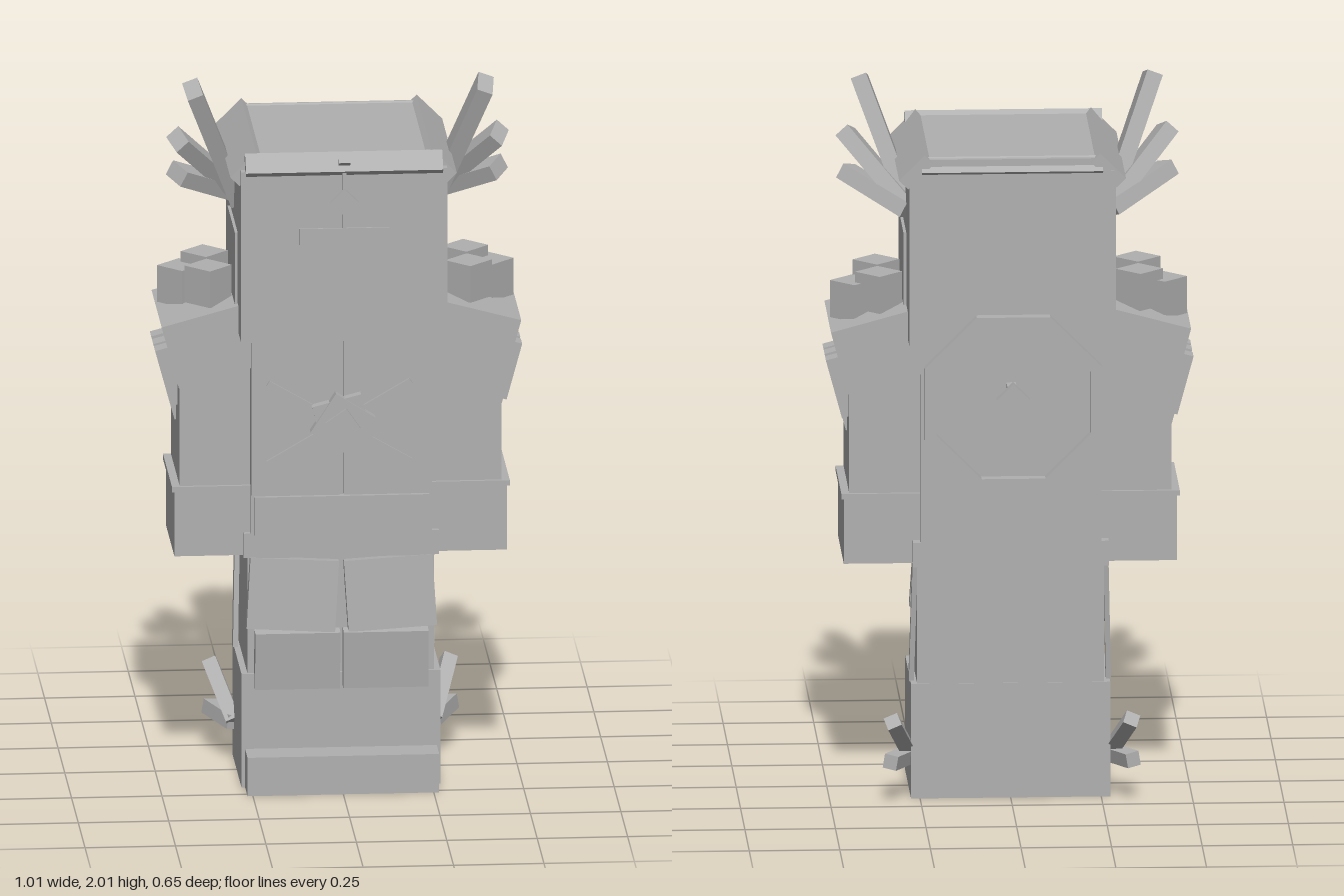
import * as THREE from 'three';

export function createModel() {
  const root = new THREE.Group();
  const stone = new THREE.MeshStandardMaterial({ color: 0xb0b0b0, flatShading: true });
  stone.name = 'plain grey';

  const add = (name, geo, parent = root) => {
    const m = new THREE.Mesh(geo, stone);
    m.name = name;
    parent.add(m);
    return m;
  };
  // box from its lower and upper corners
  const block = (name, x0, x1, y0, y1, z0, z1, parent = root) => {
    const m = add(name, new THREE.BoxGeometry(x1 - x0, y1 - y0, z1 - z0), parent);
    m.position.set((x0 + x1) / 2, (y0 + y1) / 2, (z0 + z1) / 2);
    return m;
  };
  // box from its centre, with turns
  const turned = (name, size, pos, rot, parent = root) => {
    const m = add(name, new THREE.BoxGeometry(...size), parent);
    m.position.set(...pos);
    m.rotation.set(...rot);
    return m;
  };
  // square bar between two points, d measured towards z
  const bar = (name, a, b, w, d, parent = root) => {
    const p = new THREE.Vector3(...a), q = new THREE.Vector3(...b);
    const dir = q.clone().sub(p), len = dir.length();
    dir.normalize();
    const x = new THREE.Vector3().crossVectors(dir, new THREE.Vector3(0, 0, 1)).normalize();
    const z = new THREE.Vector3().crossVectors(x, dir);
    const m = add(name, new THREE.BoxGeometry(w, len, d), parent);
    m.quaternion.setFromRotationMatrix(new THREE.Matrix4().makeBasis(x, dir, z));
    m.position.copy(p.add(q).multiplyScalar(0.5));
    return m;
  };

  // head and its slanted top trims
  block('head', -0.285, 0.285, 1.31, 1.8, -0.265, 0.305);
  block('headTop', -0.25, 0.25, 1.8, 1.835, -0.26, 0.28);
  turned('frontTrim', [0.545, 0.04, 0.062], [0, 1.81, 0.285], [0.85, 0, 0]);
  turned('backTrim', [0.5, 0.03, 0.05], [0, 1.81, -0.245], [-0.85, 0, 0]);
  for (const s of [-1, 1])
    turned('sideTrim', [0.1, 0.036, 0.545], [s * 0.265, 1.801, 0.008], [0, 0, -s * 0.785]);

  // face cross and its pendant
  block('crossUpright', -0.025, 0.025, 1.385, 1.635, 0.3, 0.311);
  block('crossBar', -0.125, 0.125, 1.59, 1.635, 0.3, 0.311);
  block('pendantChain', -0.006, 0.006, 1.635, 1.8, 0.3, 0.314);
  turned('pendant', [0.056, 0.056, 0.02], [0, 1.71, 0.312], [0, 0, Math.PI / 4]);
  turned('trimStud', [0.032, 0.03, 0.02], [0, 1.822, 0.302], [0.85, 0, 0]);

  // torso, front plates and belt
  block('torso', -0.25, 0.25, 0.66, 1.31, -0.18, 0.195);
  for (const s of [-1, 1])
    turned('chestPlate', [0.243, 0.46, 0.03], [s * 0.1275, 1.075, 0.205], [0, 0, 0]);
  block('belt', -0.242, 0.242, 0.73, 0.84, 0.17, 0.215);
  block('backFlap', -0.27, 0.27, 0.66, 0.73, -0.178, 0.19);

  // chest star with crossed rods
  for (const s of [-1, 1]) {
    bar('starRod', [-0.205, 1.055 + s * 0.115, 0.222], [0.19, 1.055 - s * 0.115, 0.222], 0.016, 0.014);
  }
  for (const [a, z, w] of [[0.25, 0.235, 0.14], [1.0, 0.242, 0.13]])
    turned('star', [w, w, 0.03], [0, 1.055, z], [0, 0, a]);
  turned('starCore', [0.07, 0.07, 0.02], [0, 1.055, 0.256], [0, 0, 0.6]);

  // octagonal ring on the back
  const oct = (r, path) => {
    for (let i = 0; i < 8; i++) {
      const a = (i + 0.5) * Math.PI / 4;
      path[i ? 'lineTo' : 'moveTo'](r * Math.cos(a), r * Math.sin(a));
    }
    path.closePath();
    return path;
  };
  const ringShape = oct(0.265, new THREE.Shape());
  ringShape.holes.push(oct(0.23, new THREE.Path()));
  const ring = add('backRing', new THREE.ExtrudeGeometry(ringShape, { depth: 0.033, bevelEnabled: false }));
  ring.position.set(0, 1.157, -0.328);
  block('ringPeg', -0.013, 0.013, 1.157, 1.183, -0.3, -0.17);
  turned('ringPegEnd', [0.065, 0.065, 0.03], [0, 1.165, -0.305], [0, 0, Math.PI / 4]);

  // legs and boots
  block('legs', -0.258, 0.258, 0.3, 0.68, -0.155, 0.17);
  block('boots', -0.275, 0.275, 0, 0.325, -0.157, 0.18);
  block('toes', -0.265, 0.265, 0, 0.11, 0.17, 0.27);

  for (const s of [-1, 1]) {
    // front skirt plates
    turned('upperSkirtPlate', [0.245, 0.2, 0.035], [s * 0.135, 0.555, 0.19], [-0.08, 0, s * 0.06]);
    turned('lowerSkirtPlate', [0.235, 0.165, 0.04], [s * 0.122, 0.37, 0.195], [0.1, 0, 0]);

    const side = new THREE.Group();
    side.name = s > 0 ? 'leftSide' : 'rightSide';
    root.add(side);
    block('headSidePanel', ...(s > 0 ? [0.28, 0.293] : [-0.293, -0.28]), 1.35, 1.59, -0.095, 0.175, side);

    // antlers
    const antlers = [[[0.275, 1.64, -0.01], [0.405, 1.985, 0.11]],
      [[0.275, 1.65, -0.05], [0.445, 1.835, 0.085]],
      [[0.275, 1.645, -0.06], [0.445, 1.73, 0.06]]];
    antlers.forEach(([a, b], i) =>
      bar('antler', [s * a[0], a[1], a[2]], [s * b[0], b[1], b[2]], 0.045, i ? 0.075 : 0.09, side));

    // ankle spurs
    for (const b of [[0.33, 0.24, -0.245], [0.335, 0.12, -0.225]])
      bar('ankleSpur', [s * 0.275, 0.11, -0.09], [s * b[0], b[1], b[2]], 0.04, 0.04, side);

    // arms with cuffs
    const mid = (name, x0, x1, ...r) => block(name, ...(s > 0 ? [x0, x1] : [-x1, -x0]), ...r, side);
    mid('arm', 0.24, 0.445, 0.8, 1.28, -0.145, 0.17);
    mid('cuff', 0.25, 0.46, 0.665, 0.855, -0.145, 0.175);
    mid('cuffRim', 0.245, 0.467, 0.85, 0.865, -0.155, 0.18);

    // slanted strip along the hip
    bar('hipStrip', [s * 0.262, 0.72, -0.145], [s * 0.272, 0.325, -0.1], 0.014, 0.035, side);

    // shoulder pad with claws
    const pad = new THREE.Group();
    pad.name = 'shoulderPad';
    pad.position.set(s * 0.326, 1.281, 0.01);
    pad.rotation.z = -s * 0.265;
    side.add(pad);
    add('padBlock', new THREE.BoxGeometry(0.305, 0.182, 0.378), pad);
    for (const [z, len] of [[0.06, 0.165], [-0.01, 0.225], [-0.087, 0.17]])
      turned('padClaw', [0.04, len, 0.052], [s * 0.168, 0.0 - len / 2, z], [0, 0, 0], pad);

    // shoulder studs
    for (const [x, y, z] of [[0.428, 1.39, -0.03], [0.36, 1.42, 0.085], [0.36, 1.42, -0.06]])
      turned('shoulderStud', [0.092, 0.105, 0.092], [s * x, y, z], [0, Math.PI / 4, 0], side);
  }
  return root;
}
